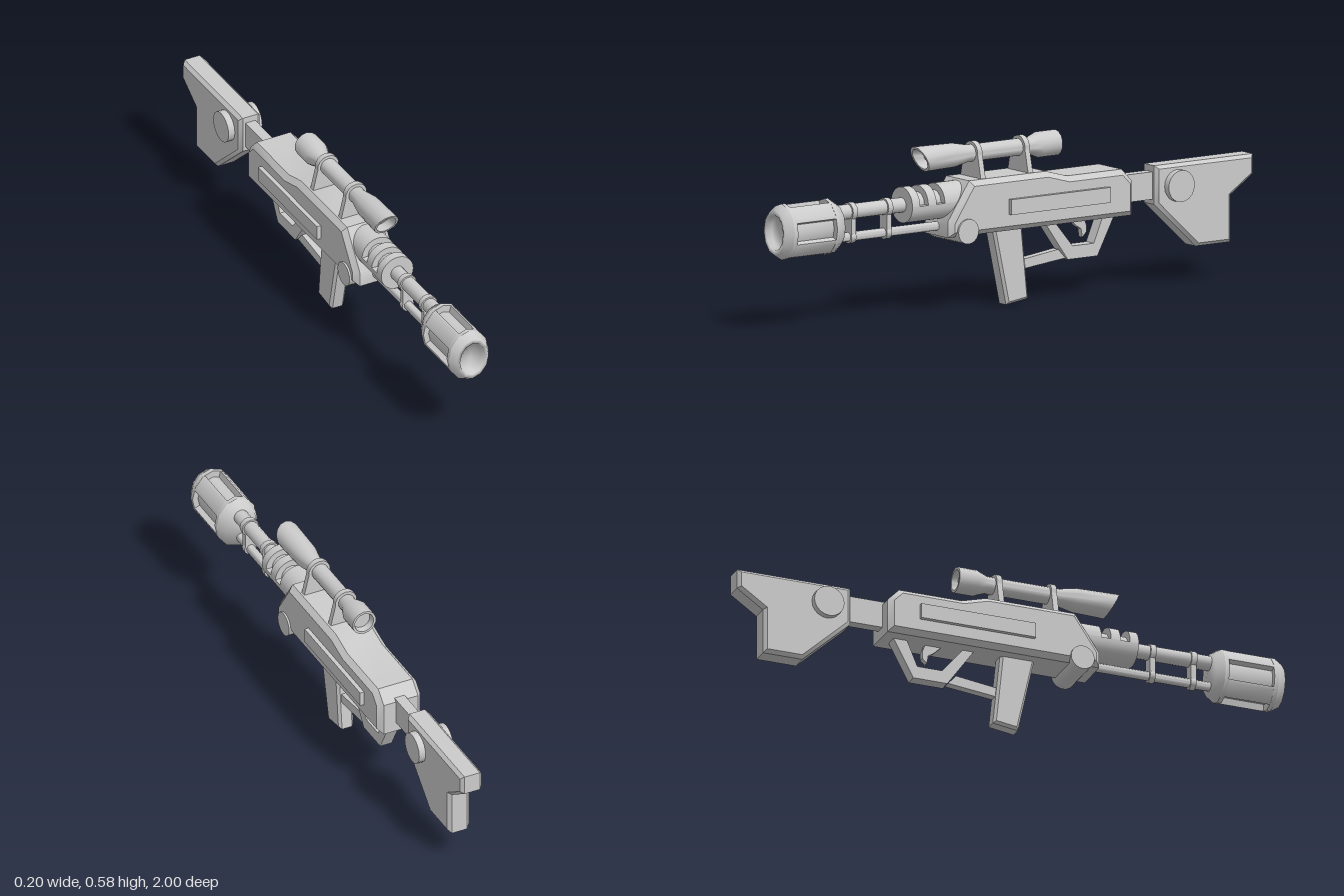
import * as THREE from 'three';
import { toCreasedNormals } from 'three/addons/utils/BufferGeometryUtils.js';

export function createModel() {
  const model = new THREE.Group();
  const mat = new THREE.MeshStandardMaterial({ color: 0xcccccc });

  const add = (name, geo, x = 0, y = 0, z = 0) => {
    const mesh = new THREE.Mesh(toCreasedNormals(geo, 0.6), mat);
    mesh.name = name;
    mesh.position.set(x, y, z);
    model.add(mesh);
    return mesh;
  };
  const shapeOf = (pts) => new THREE.Shape(pts.map(([a, b]) => new THREE.Vector2(a, b)));

  // side profile of [z, y] points, extruded across x with a chamfer
  const plate = (name, pts, halfWidth, bevel = 0) => {
    const depth = 2 * (halfWidth - bevel);
    const geo = new THREE.ExtrudeGeometry(shapeOf(pts), {
      depth, bevelEnabled: bevel > 0, bevelThickness: bevel, bevelSize: bevel,
      bevelOffset: -bevel, bevelSegments: 1, curveSegments: 8,
    });
    geo.translate(0, 0, -depth / 2).rotateY(-Math.PI / 2);
    return add(name, geo);
  };
  // revolved profile of [radius, z] points, running back to front
  const turned = (pts, sides = 16) =>
    new THREE.LatheGeometry(pts.map(([r, z]) => new THREE.Vector2(r, z)), sides).rotateX(Math.PI / 2);
  const rod = (name, r, y, z0, z1, sides = 12) =>
    add(name, turned([[0, z0], [r, z0], [r, z1], [0, z1]], sides), 0, y, 0);
  const disc = (name, r, halfWidth, y, z) =>
    add(name, new THREE.CylinderGeometry(r, r, 2 * halfWidth, 20).rotateZ(Math.PI / 2), 0, y, z);

  // receiver
  plate('receiver', [[0.315, 0.265], [0.315, 0.32], [0.225, 0.453], [-0.1, 0.453], [-0.19, 0.428],
    [-0.42, 0.428], [-0.462, 0.385], [-0.462, 0.265]], 0.083, 0.018);
  for (const s of [-1, 1])
    add(s > 0 ? 'leftSidePanel' : 'rightSidePanel', new THREE.BoxGeometry(0.03, 0.053, 0.42), s * 0.083, 0.35, -0.14);
  disc('frontPivot', 0.043, 0.09, 0.283, 0.245);

  // stock
  add('stockNeck', new THREE.BoxGeometry(0.038, 0.095, 0.18), 0, 0.348, -0.52);
  plate('stock', [[-0.585, 0.418], [-0.585, 0.284], [-0.76, 0.123], [-0.905, 0.123], [-0.905, 0.284],
    [-1, 0.348], [-1, 0.418]], 0.041, 0.012);
  disc('stockDisc', 0.055, 0.065, 0.343, -0.675);

  // grip, guard and trigger
  plate('grip', [[0.095, 0.275], [0.035, 0.0], [-0.057, 0.013], [-0.03, 0.275]], 0.028, 0.009);
  plate('guardBar', [[-0.035, 0.148], [-0.035, 0.115], [-0.22, 0.135], [-0.19, 0.168]], 0.015);
  plate('triggerGuard', [[-0.125, 0.27], [-0.225, 0.13], [-0.35, 0.13], [-0.425, 0.27],
    [-0.375, 0.27], [-0.335, 0.175], [-0.245, 0.175], [-0.165, 0.27]], 0.022);
  plate('trigger', [[-0.24, 0.27], [-0.27, 0.24], [-0.29, 0.228], [-0.295, 0.198], [-0.312, 0.215],
    [-0.312, 0.24], [-0.3, 0.27]], 0.01);

  // barrel, lower tube and the clamps joining them
  rod('barrel', 0.026, 0.385, 0.2, 0.78);
  rod('lowerTube', 0.016, 0.298, 0.2, 0.78);
  for (const z of [0.53, 0.68]) {
    rod('barrelClamp', 0.032, 0.385, z - 0.01, z + 0.01);
    rod('tubeClamp', 0.023, 0.298, z - 0.01, z + 0.01);
    add('clampWeb', new THREE.BoxGeometry(0.04, 0.09, 0.02), 0, 0.34, z);
  }

  // ribbed shroud: closed lower half, separate ribs on the upper half
  const halfRound = (name, start, z0, z1) => {
    const s = new THREE.Shape();
    s.absarc(0, 0, 0.062, start, start + Math.PI, false);
    s.closePath();
    add(name, new THREE.ExtrudeGeometry(s, { depth: z1 - z0, bevelEnabled: false, curveSegments: 8 }), 0, 0.385, z0);
  };
  halfRound('shroudBase', Math.PI, 0.2, 0.462);
  for (const [z0, z1] of [[0.2, 0.325], [0.36, 0.395], [0.43, 0.462]]) halfRound('shroudRib', 0, z0, z1);
  rod('shroudCore', 0.04, 0.385, 0.2, 0.45);

  // oval muzzle: two rings, an inner core and four ribs between slots
  const muzzle = new THREE.Group();
  muzzle.name = 'muzzle';
  muzzle.position.y = 0.343;
  muzzle.scale.set(0.077, 0.097, 1);
  model.add(muzzle);
  const muzzlePart = (name, geo) => muzzle.add(add(name, geo));
  muzzlePart('muzzleBackRing', turned([[0, 0.745], [0.8, 0.745], [1, 0.775], [1, 0.79], [0, 0.79]], 12));
  muzzlePart('muzzleCore', turned([[0, 0.78], [0.74, 0.78], [0.74, 0.965], [0, 0.965]], 12));
  muzzlePart('muzzleFrontRing', turned([[0, 0.955], [1, 0.955], [1, 0.97], [0.8, 1], [0.64, 1],
    [0.56, 0.98], [0, 0.98]], 12));
  for (let i = 0; i < 4; i++) {
    const at = (deg, r) => {
      const a = THREE.MathUtils.degToRad(deg + 90 * i);
      return [Math.cos(a) * r, Math.sin(a) * r];
    };
    const rib = shapeOf([at(23, 0.975), at(30, 0.99), at(60, 0.99), at(67, 0.975), at(65, 0.68), at(25, 0.68)]);
    muzzlePart('muzzleRib', new THREE.ExtrudeGeometry(rib, { depth: 0.18, bevelEnabled: false }).translate(0, 0, 0.78));
  }

  // scope with a slanted front hood
  const scopeY = 0.535;
  const scope = turned([[0, -0.165], [0.032, -0.165], [0.036, -0.187], [0.045, -0.187], [0.045, -0.115],
    [0.03, -0.075], [0.03, 0.19], [0.042, 0.25], [0.045, 0.385], [0.036, 0.385], [0.032, 0.345], [0, 0.345]], 14);
  const p = scope.attributes.position;
  for (let i = 0; i < p.count; i++)
    if (p.getZ(i) > 0.3) p.setZ(i, p.getZ(i) + 0.5 * p.getY(i));
  add('scope', scope, 0, scopeY, 0);

  // scope mounts
  for (const z of [0.16, -0.04]) {
    rod('scopeRing', 0.041, scopeY, z - 0.01, z + 0.01, 14);
    const foot = shapeOf([[-0.06, 0.445], [0.06, 0.445], [0.039, scopeY], [-0.039, scopeY]]);
    add('scopeMount', new THREE.ExtrudeGeometry(foot, { depth: 0.02, bevelEnabled: false }), 0, 0, z - 0.01);
  }
  return model;
}
